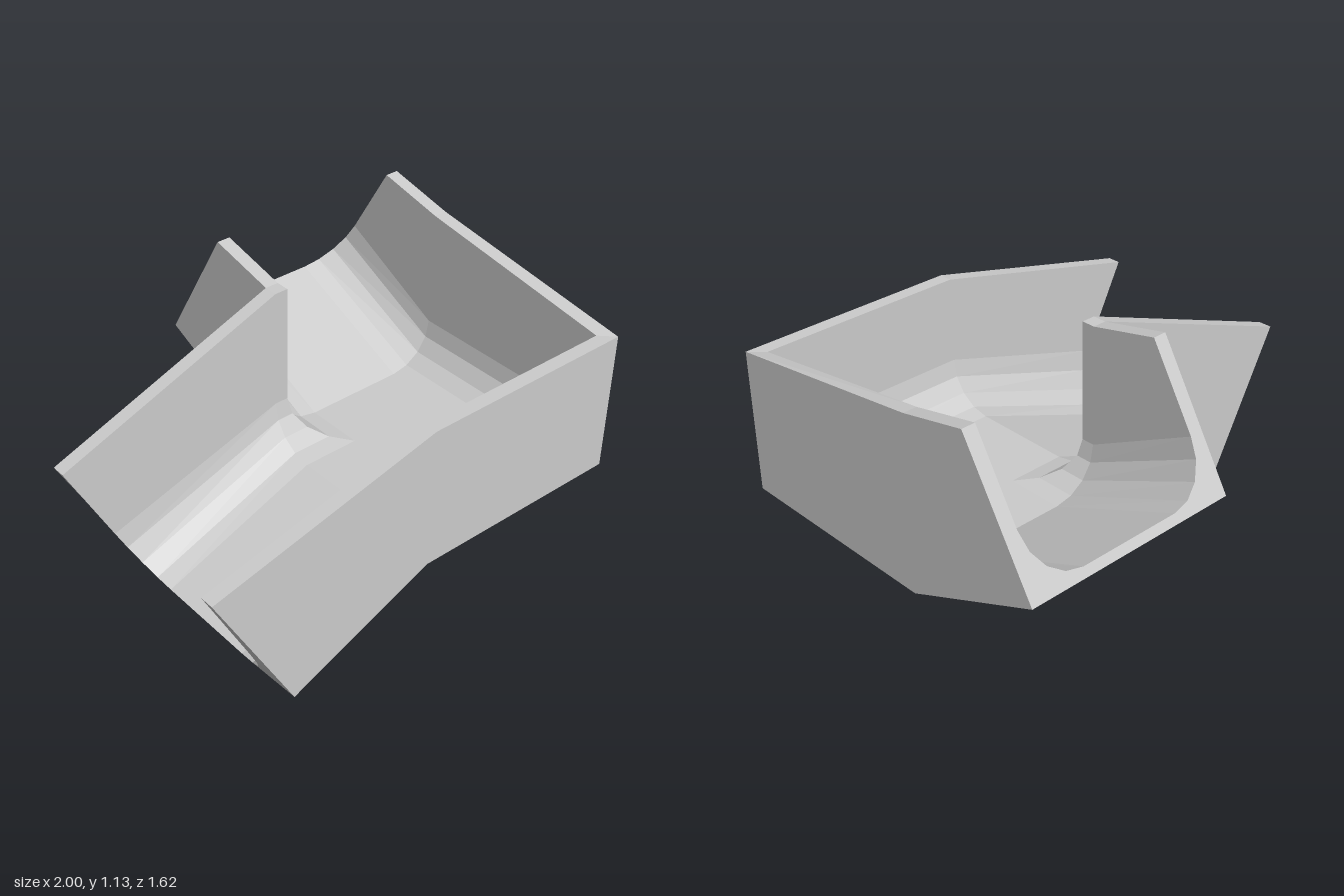
import * as THREE from 'three';

const WIDTH = 0.98, WALL = 0.06, FILLET = 0.2, STEPS = 4;

// Trough cross-section, counter-clockwise: u runs from the inner to the outer side of the bend
function section({ bottom, floor, innerTop, outerTop, rise = FILLET }) {
  const points = [[0, bottom], [WIDTH, bottom], [WIDTH, outerTop], [WIDTH - WALL, outerTop]];
  const fillet = [];
  for (let i = 0; i <= STEPS; i++) {
    const a = (i / STEPS) * Math.PI / 2;
    fillet.push([WALL + FILLET * (1 - Math.cos(a)), floor + rise * (1 - Math.sin(a))]);
  }
  for (const [u, y] of fillet) points.push([WIDTH - u, y]);
  for (const [u, y] of [...fillet].reverse()) points.push([u, y]);
  points.push([WALL, innerTop], [0, innerTop]);
  return points;
}

// Stations along the path; place() maps a section point into space
const X0 = 0.02, Z0 = -0.17;
const stations = [
  { // lower end, tilted, its floor lip standing slightly proud
    bottom: 0.003, floor: 0.055, innerTop: 0.67, outerTop: 0.67, rise: 0.22,
    place: (u, y, i) => {
      const lip = i > 3 && i < 4 + 2 * (STEPS + 1) ? 0.015 * (0.67 - y) / 0.615 : 0;
      return [-0.64 - 0.36 * (y - 0.003) / 0.667 - lip, y, Z0 + u];
    },
  },
  { // start of the level corner
    bottom: 0.29, floor: 0.335, innerTop: 1.06, outerTop: 0.92,
    place: (u, y) => [X0, y, Z0 + u],
  },
  { // corner mitre
    bottom: 0.29, floor: 0.335, innerTop: 1.06, outerTop: 0.92,
    place: (u, y) => [X0 + u, y, Z0 + u],
  },
  { // end of the level corner
    bottom: 0.29, floor: 0.335, innerTop: 1.06, outerTop: 1.06,
    place: (u, y) => [X0 + u, y, Z0],
  },
  { // raised end, tilted
    bottom: 0.57, floor: 0.605, innerTop: 1.13, outerTop: 1.13, rise: 0.19,
    place: (u, y) => [X0 + u, y, -0.81 + 0.33 * (y - 0.57) / 0.56],
  },
];

export function createModel() {
  const group = new THREE.Group();
  group.name = 'cornerChute';

  const outlines = stations.map(section);
  const loops = outlines.map((o, s) => o.map(([u, y], i) => stations[s].place(u, y, i)));
  const n = loops[0].length;
  const positions = [];
  const tri = (a, b, c) => positions.push(...a, ...b, ...c);

  // Skin between neighbouring sections
  for (let s = 0; s < loops.length - 1; s++) {
    const a = loops[s], b = loops[s + 1];
    for (let i = 0; i < n; i++) {
      const j = (i + 1) % n;
      tri(a[i], b[i], b[j]);
      tri(a[i], b[j], a[j]);
    }
  }

  // End caps
  const cap = (s, flip) => {
    const contour = outlines[s].map(([u, y]) => new THREE.Vector2(u, y));
    for (const [i, j, k] of THREE.ShapeUtils.triangulateShape(contour, [])) {
      const p = loops[s];
      if (flip) tri(p[i], p[k], p[j]);
      else tri(p[i], p[j], p[k]);
    }
  };
  cap(0, false);
  cap(loops.length - 1, true);

  const geometry = new THREE.BufferGeometry();
  geometry.setAttribute('position', new THREE.Float32BufferAttribute(positions, 3));
  geometry.computeVertexNormals();
  const mesh = new THREE.Mesh(
    geometry,
    new THREE.MeshStandardMaterial({ color: 0xcccccc, flatShading: true }),
  );
  mesh.name = 'trough';
  group.add(mesh);
  return group;
}
